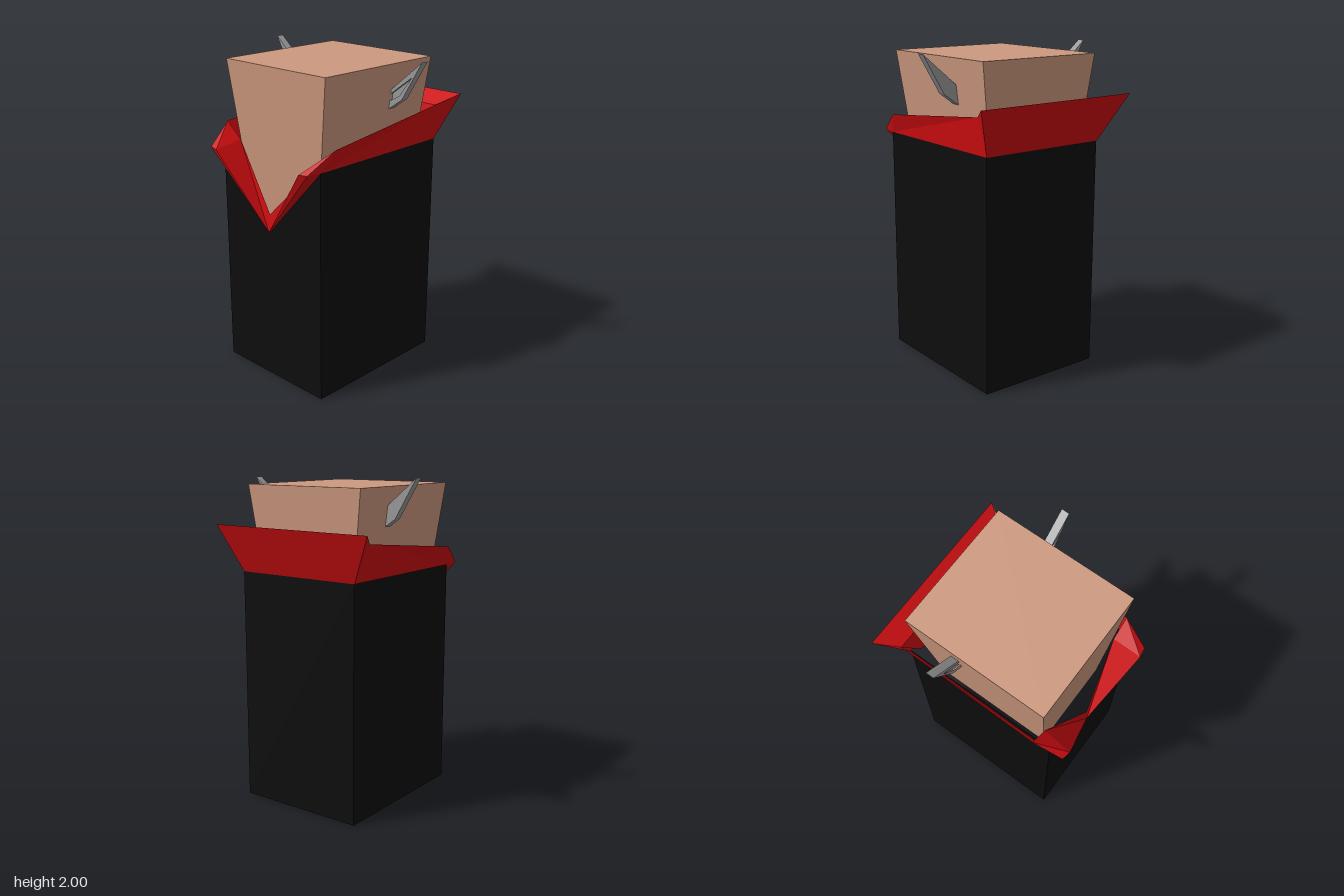
import * as THREE from 'three';

const paint = (color, side = THREE.FrontSide) =>
  new THREE.MeshStandardMaterial({ color, side, flatShading: true });

// Flat-shaded surface from a list of quads or triangles (arrays of [x, y, z])
function surface(name, faces, material) {
  const pos = [];
  for (const f of faces) {
    for (let i = 1; i < f.length - 1; i++) pos.push(...f[0], ...f[i], ...f[i + 1]);
  }
  const geo = new THREE.BufferGeometry();
  geo.setAttribute('position', new THREE.Float32BufferAttribute(pos, 3));
  geo.computeVertexNormals();
  const mesh = new THREE.Mesh(geo, material);
  mesh.name = name;
  return mesh;
}

export function createModel() {
  const model = new THREE.Group();
  const black = paint(0x0d0d0d);
  const red = paint(0xcc0c10, THREE.DoubleSide);
  const skin = paint(0xcc987e);
  const grey = paint(0x999999);

  // Body: open-topped box with a V neckline cut into the front wall
  const L = -0.42, R = 0.405, T = 1.43, Z = 0.5, neck = [-0.018, 0.97, Z];
  model.add(surface('body', [
    [neck, [L, T, Z], [L, 0, Z], [R, 0, Z], [R, T, Z]],
    [[R, 0, -Z], [L, 0, -Z], [L, T, -Z], [R, T, -Z]],
    [[R, 0, Z], [R, 0, -Z], [R, T, -Z], [R, T, Z]],
    [[L, 0, -Z], [L, 0, Z], [L, T, Z], [L, T, -Z]],
    [[L, 0, -Z], [R, 0, -Z], [R, 0, Z], [L, 0, Z]],
  ], black));

  // Head: box tapering downwards into the neckline
  const headGeo = new THREE.BoxGeometry(0.825, 0.95, 0.905);
  const p = headGeo.attributes.position;
  for (let i = 0; i < p.count; i++) {
    if (p.getY(i) < 0) p.setXYZ(i, p.getX(i) * 0.69, p.getY(i), p.getZ(i) * 0.85);
  }
  headGeo.computeVertexNormals();
  const head = new THREE.Mesh(headGeo, skin);
  head.name = 'head';
  head.position.set(-0.0175, 1.475, -0.002);
  model.add(head);

  // Collar: mirrored lapels and sides, joined by a flared back
  const halves = [1, -1].map((s) => {
    const pt = (x, y, z, c = -0.015) => [c + s * x, y, z];
    return {
      baseFront: pt(0.42, 1.43, 0.5, -0.01),
      baseBack: pt(0.415, 1.43, -0.5, -0.01),
      lapelOuter: pt(0.415, 1.435, 0.595),
      lapelInner: pt(0.355, 1.43, 0.605),
      neckCorner: pt(0.345, 1.46, 0.42),
      rimFront: pt(0.463, 1.555, 0.42),
      rimBack: pt(0.46, 1.65, -0.45, -0.03),
      foldBack: pt(0.46, 1.65, -0.48, -0.03),
      flare: pt(0.5525, 1.715, -0.605, -0.0325),
      innerBack: pt(0.37, 1.45, -0.45),
    };
  });
  const tipOuter = [-0.018, 0.97, 0.513], tipInner = [-0.018, 1.08, 0.5];
  halves.forEach((h, i) => {
    const side = i === 0 ? 'left' : 'right';
    model.add(surface(side + 'Lapel', [
      [tipOuter, h.lapelInner, h.neckCorner, tipInner],
      [tipOuter, h.lapelOuter, h.lapelInner],
      [neck, h.baseFront, h.lapelOuter, tipOuter],
      [h.lapelInner, h.lapelOuter, h.rimFront, h.neckCorner],
    ], red));
    model.add(surface(side + 'CollarSide', [
      [h.baseFront, h.rimFront, h.lapelOuter],
      [h.baseFront, h.baseBack, h.rimBack, h.rimFront],
      [h.baseBack, h.flare, h.rimBack],
      [h.rimBack, h.flare, h.foldBack],
    ], red));
  });
  const [a, b] = halves;
  model.add(surface('collarBack', [
    [a.baseBack, b.baseBack, b.flare, a.flare],
    [a.flare, b.flare, b.foldBack, a.foldBack],
    [a.foldBack, b.foldBack, b.innerBack, a.innerBack],
  ], red));

  // Ears: pointed plates with a shallow recess on the front
  const outline = [[0.33, 1.66], [0.375, 1.69], [0.46, 1.75], [0.6, 1.985], [0.33, 1.76]];
  const recess = [[0.35, 1.72], [0.44, 1.77], [0.53, 1.89], [0.35, 1.755]];
  for (const s of [1, -1]) {
    const flip = (pts) => pts.map(([x, y]) => new THREE.Vector2(s * x, y));
    const ear = new THREE.Group();
    ear.name = s > 0 ? 'leftEar' : 'rightEar';
    const rim = new THREE.Shape(flip(outline));
    rim.holes.push(new THREE.Path(flip(recess)));
    const layers = [['earPlate', new THREE.Shape(flip(outline)), 0.03, -0.168],
      ['earRim', rim, 0.02, -0.138]];
    for (const [name, shape, depth, z] of layers) {
      const geo = new THREE.ExtrudeGeometry(shape, { depth, bevelEnabled: false });
      const mesh = new THREE.Mesh(geo, grey);
      mesh.name = name;
      mesh.position.z = z;
      ear.add(mesh);
    }
    ear.position.set(-0.005, s > 0 ? -0.005 : 0.015, 0);
    model.add(ear);
  }
  return model;
}
